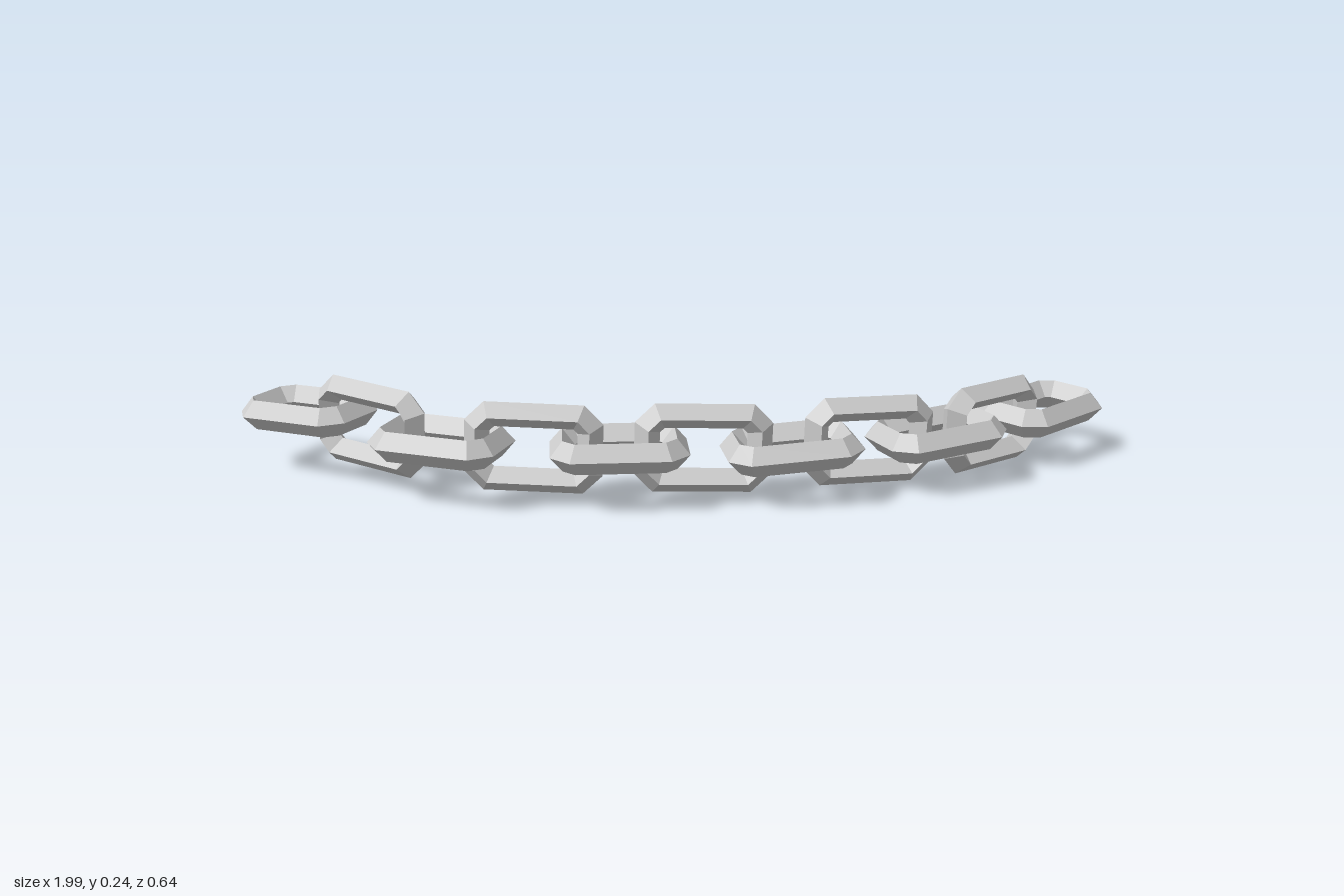
import * as THREE from 'three';

const HALF_LENGTH = 0.15, HALF_WIDTH = 0.1, CHAMFER = 0.042;
const BAR = 0.055, HALF_THICK = 0.034;

// Chamfered rectangle in the XZ plane, inset evenly by d
function outline(d) {
  const l = HALF_LENGTH - d, w = HALF_WIDTH - d;
  const c = CHAMFER - d * (2 - Math.SQRT2);
  return [
    [l, -w + c], [l, w - c], [l - c, w], [-l + c, w],
    [-l, w - c], [-l, -w + c], [-l + c, -w], [l - c, -w],
  ];
}

// One link: a diamond-section bar swept round the chamfered rectangle
function linkGeometry() {
  const section = [[0, 0], [BAR / 2, HALF_THICK], [BAR, 0], [BAR / 2, -HALF_THICK]];
  const positions = [], index = [];
  for (const [inset, y] of section) {
    for (const [x, z] of outline(inset)) positions.push(x, y, z);
  }
  for (let j = 0; j < 4; j++) {
    for (let i = 0; i < 8; i++) {
      const i2 = (i + 1) % 8, j2 = (j + 1) % 4;
      const a = j * 8 + i, b = j2 * 8 + i, c = j2 * 8 + i2, d = j * 8 + i2;
      index.push(a, b, c, a, c, d);
    }
  }
  const geometry = new THREE.BufferGeometry();
  geometry.setAttribute('position', new THREE.Float32BufferAttribute(positions, 3));
  geometry.setIndex(index);
  geometry.computeVertexNormals();
  return geometry;
}

export function createModel() {
  const chain = new THREE.Group();
  chain.name = 'chain';
  const material = new THREE.MeshStandardMaterial({ color: 0xcccccc, flatShading: true });
  const geometry = linkGeometry();

  // Centre x, y, z, then yaw and pitch in degrees; links alternate flat and upright
  const links = [
    [-0.842, 0.14, 0.0, -27, 3],
    [-0.68, 0.135, 0.096, -29, -2],
    [-0.51, 0.13, 0.185, -17, 0],
    [-0.307, 0.126, 0.21, 0, -2],
    [-0.123, 0.123, 0.198, 6, 0],
    [0.058, 0.12, 0.182, 7, -2],
    [0.25, 0.114, 0.152, 10.5, 3],
    [0.42, 0.114, 0.094, 17, -2],
    [0.575, 0.113, 0.035, 27, 2],
    [0.709, 0.105, -0.064, 42, -2],
    [0.842, 0.107, -0.18, 45, 0],
  ];
  const rad = THREE.MathUtils.degToRad;
  links.forEach(([x, y, z, yaw, pitch], i) => {
    const upright = i % 2 === 1;
    const link = new THREE.Mesh(geometry, material);
    link.name = (upright ? 'uprightLink' : 'flatLink') + (i + 1);
    link.position.set(x, y, z);
    link.rotation.set(upright ? Math.PI / 2 : 0, rad(yaw), rad(pitch), 'YZX');
    chain.add(link);
  });
  return chain;
}
